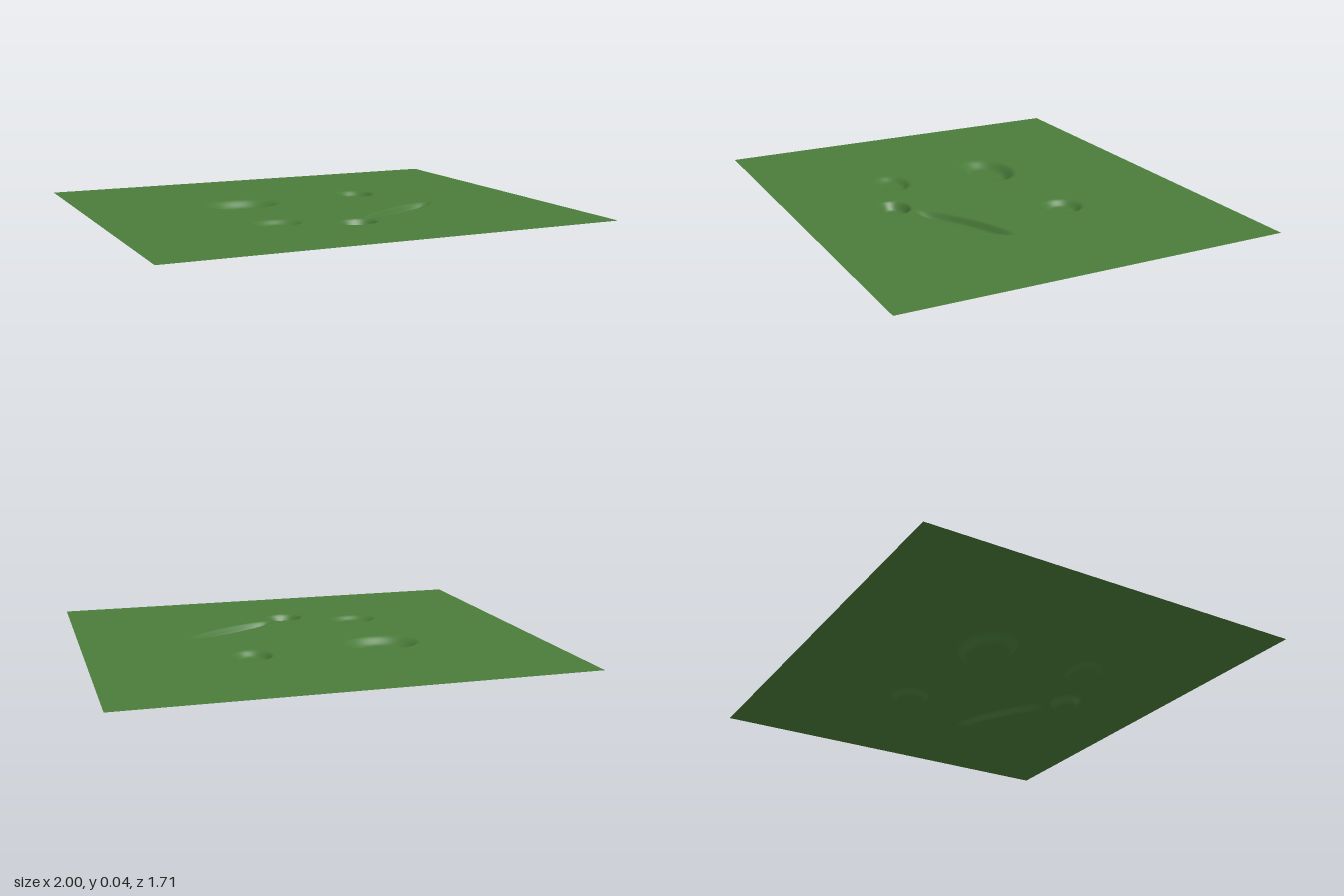
import * as THREE from 'three';

const TOP = 0.037, HALF_X = 1, HALF_Z = 0.857;

// Flat-bottomed elliptical hollows: centre, radii, turn, depth, rim width (share of radius)
const hollows = [
  { x: -0.29, z: -0.172, rx: 0.176, rz: 0.126, turn: 0, depth: 0.037, rim: 0.42 },
  { x: 0.31, z: -0.23, rx: 0.091, rz: 0.094, turn: 0, depth: 0.027, rim: 0.42 },
  { x: -0.315, z: 0.31, rx: 0.112, rz: 0.082, turn: 0, depth: 0.022, rim: 0.42 },
  { x: -0.003, z: 0.427, rx: 0.089, rz: 0.07, turn: 0, depth: 0.037, rim: 0.42 },
  // long slanted groove
  { x: 0.29, z: 0.247, rx: 0.263, rz: 0.052, turn: 0.5, depth: 0.03, rim: 0.36 },
];

function depthAt(x, z) {
  let deepest = 0;
  for (const h of hollows) {
    const dx = x - h.x, dz = z - h.z, c = Math.cos(h.turn), s = Math.sin(h.turn);
    const r = Math.hypot((dx * c - dz * s) / h.rx, (dx * s + dz * c) / h.rz);
    deepest = Math.max(deepest, h.depth * THREE.MathUtils.smoothstep(1 - r, 0, h.rim));
  }
  return deepest;
}

export function createModel() {
  const group = new THREE.Group();
  group.name = 'ground';

  const grass = new THREE.MeshStandardMaterial({ color: 0x4a7c3a, side: THREE.DoubleSide });
  grass.name = 'grass green';

  // Fine grid over the hollows; its outermost row is pulled out to the sheet's edges
  const nx = 200, nz = 168, px = 0.56, pz = 0.53;
  const sheet = new THREE.PlaneGeometry(2 * px, 2 * pz, nx, nz).rotateX(-Math.PI / 2);
  const pos = sheet.attributes.position;
  for (let i = 0; i < pos.count; i++) {
    const col = i % (nx + 1), row = Math.floor(i / (nx + 1));
    let x = pos.getX(i), z = pos.getZ(i);
    if (col === 0 || col === nx) x = Math.sign(x) * HALF_X;
    if (row === 0 || row === nz) z = Math.sign(z) * HALF_Z;
    pos.setXYZ(i, x, TOP - depthAt(x, z), z);
  }
  sheet.computeVertexNormals();

  const mesh = new THREE.Mesh(sheet, grass);
  mesh.name = 'dentedLawn';
  group.add(mesh);
  return group;
}
